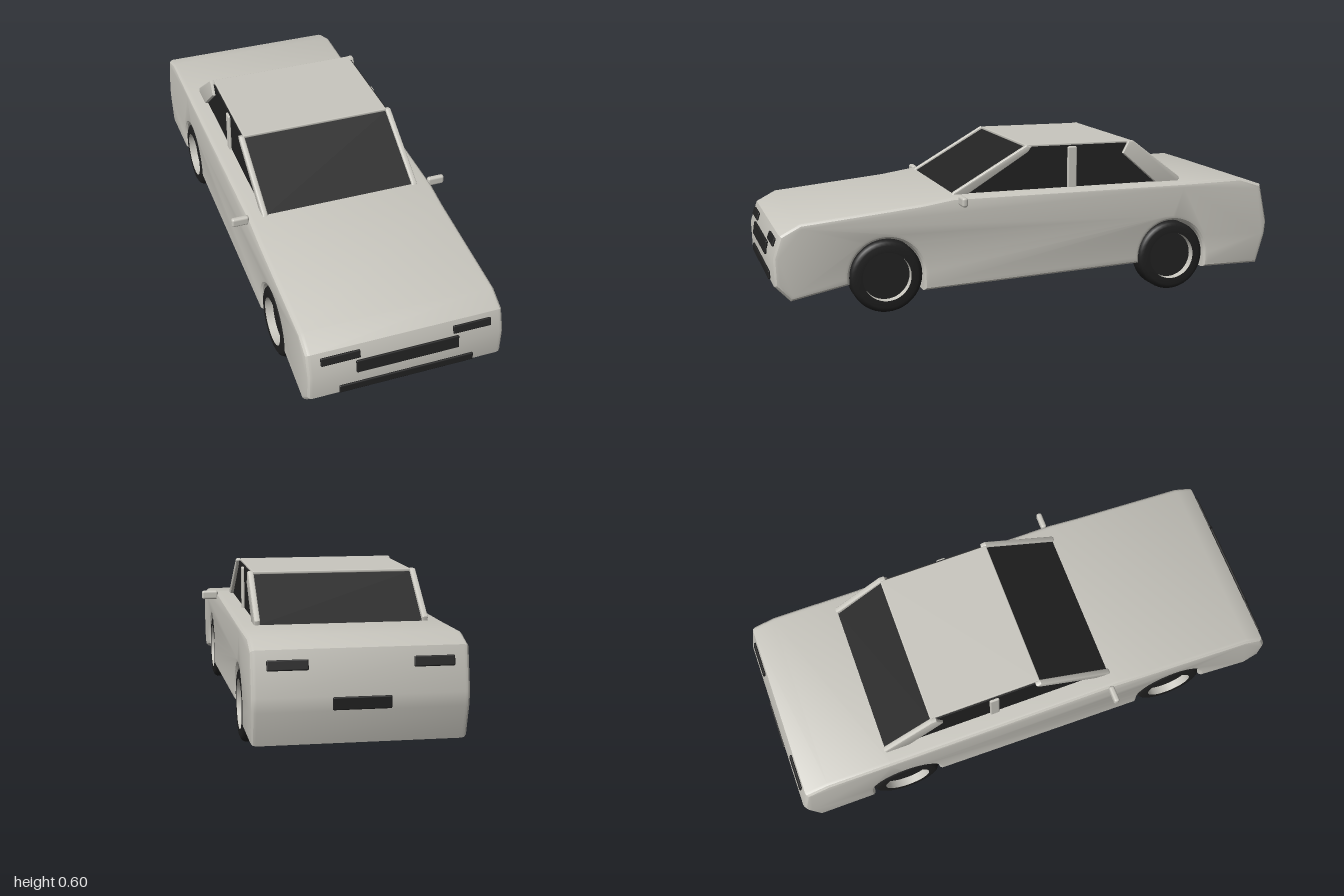
import * as THREE from 'three';
import { toCreasedNormals } from 'three/addons/utils/BufferGeometryUtils.js';
import { RoundedBoxGeometry } from 'three/addons/geometries/RoundedBoxGeometry.js';

const paint = new THREE.MeshStandardMaterial({ name: 'silver paint', color: 0xc8c6be });
const dark = new THREE.MeshStandardMaterial({ name: 'dark glass and trim', color: 0x222222 });
const rubber = new THREE.MeshStandardMaterial({ name: 'tyre rubber', color: 0x1f1f1f });
const rimPaint = new THREE.MeshStandardMaterial({ name: 'rim barrel', color: 0xc8c6be, side: THREE.DoubleSide });

const WHEEL_R = 0.137, WHEEL_Z = 0.575;

function mesh(name, geometry, material, x = 0, y = 0, z = 0) {
  const m = new THREE.Mesh(geometry, material);
  m.name = name;
  m.position.set(x, y, z);
  return m;
}

// Extrudes a side outline drawn as (z, y) across the car from x0 to x1
function sideSlab(shape, x0, x1, bevel) {
  const g = new THREE.ExtrudeGeometry(shape, {
    depth: x1 - x0 - 2 * bevel, curveSegments: 20,
    bevelEnabled: bevel > 0, bevelSize: bevel, bevelThickness: bevel,
    bevelOffset: -bevel, bevelSegments: 3,
  });
  g.rotateY(-Math.PI / 2);
  g.translate(x1 - bevel, 0, 0);
  return toCreasedNormals(g, 0.5);
}

const polygon = (points) => new THREE.Shape(points.map(([z, y]) => new THREE.Vector2(z, y)));

// Side outline of the lower body with both wheel arches
function bodyShape() {
  const s = new THREE.Shape();
  const r = 0.139;
  s.moveTo(0.93, 0.07);
  [[0.988, 0.13], [0.992, 0.235], [0.965, 0.317], [0.89, 0.357], [0.44, 0.403], [0.32, 0.422],
    [-0.62, 0.43], [-0.87, 0.435], [-0.962, 0.405], [-0.995, 0.25], [-0.99, 0.2],
    [-0.955, 0.08], [-WHEEL_Z - r, 0.08]].forEach(([z, y]) => s.lineTo(z, y));
  s.lineTo(-WHEEL_Z - r, 0.14);
  s.absarc(-WHEEL_Z, 0.14, r, Math.PI, 0, true);
  s.lineTo(-WHEEL_Z + r, 0.115);
  s.lineTo(WHEEL_Z - r, 0.073);
  s.lineTo(WHEEL_Z - r, 0.14);
  s.absarc(WHEEL_Z, 0.14, r, Math.PI, 0, true);
  s.lineTo(WHEEL_Z + r, 0.115);
  return s;
}

function createWheel() {
  const wheel = new THREE.Group();
  wheel.name = 'wheel';
  const w = 0.046, inner = 0.092;
  // tyre: rounded outer tread and flat side walls
  const profile = [[inner, -w], [0.118, -w], [0.13, -0.04], [WHEEL_R, -0.028],
    [WHEEL_R, 0.028], [0.13, 0.04], [0.118, w], [inner, w]];
  const tyre = new THREE.LatheGeometry(profile.map(([r, y]) => new THREE.Vector2(r, y)), 40);
  tyre.rotateZ(Math.PI / 2);
  const barrel = new THREE.CylinderGeometry(inner, inner, 2 * w, 40, 1, true).rotateZ(Math.PI / 2);
  const disc = new THREE.CylinderGeometry(inner - 0.001, inner - 0.001, 0.03, 40).rotateZ(Math.PI / 2);
  wheel.add(mesh('tyre', tyre, rubber), mesh('rimBarrel', barrel, rimPaint), mesh('wheelDisc', disc, dark));
  return wheel;
}

// Thin rounded plate set on the nose or tail, tilted to the panel
function trim(name, x, y, z, width, height, tilt) {
  const m = mesh(name, new RoundedBoxGeometry(width, height, 0.0098, 3, 0.0045), dark, x, y, z);
  m.rotation.x = tilt;
  return m;
}

export function createModel() {
  const car = new THREE.Group();
  car.name = 'car';

  car.add(mesh('body', sideSlab(bodyShape(), -0.372, 0.372, 0.02), paint));

  // Glasshouse and roof
  const cabin = polygon([[0.3, 0.41], [0.305, 0.42], [0.01, 0.589], [-0.42, 0.589], [-0.62, 0.43], [-0.6, 0.41]]);
  car.add(mesh('windows', sideSlab(cabin, -0.304, 0.304, 0), dark));
  car.add(mesh('roof', new RoundedBoxGeometry(0.596, 0.012, 0.44, 2, 0.004), paint, 0, 0.591, -0.205));

  // Pillars, mirrors and wheels on both sides
  const frontPillar = polygon([[0.315, 0.415], [0.305, 0.43], [0.015, 0.597], [-0.005, 0.59], [0.01, 0.57], [0.25, 0.42]]);
  const rearPillar = polygon([[-0.38, 0.55], [-0.405, 0.597], [-0.425, 0.597], [-0.625, 0.445], [-0.62, 0.42], [-0.53, 0.42]]);
  for (const side of [1, -1]) {
    const label = side > 0 ? 'left' : 'right';
    const [x0, x1] = side > 0 ? [0.294, 0.316] : [-0.316, -0.294];
    car.add(mesh(label + 'FrontPillar', sideSlab(frontPillar, x0, x1, 0.006), paint));
    car.add(mesh(label + 'RearPillar', sideSlab(rearPillar, x0, x1, 0.006), paint));
    car.add(mesh(label + 'MiddlePillar', new RoundedBoxGeometry(0.018, 0.165, 0.038, 2, 0.006), paint, side * 0.304, 0.502, -0.172));
    car.add(mesh(label + 'Mirror', new RoundedBoxGeometry(0.068, 0.036, 0.022, 3, 0.009), paint, side * 0.4, 0.411, 0.292));

    for (const end of [1, -1]) {
      const wheel = createWheel();
      wheel.name = label + (end > 0 ? 'FrontWheel' : 'RearWheel');
      wheel.position.set(side * 0.322, WHEEL_R, end * WHEEL_Z);
      car.add(wheel);
    }
    car.add(trim(label + 'Headlight', side * 0.248, 0.285, 0.979, 0.146, 0.031, -0.32));
    car.add(trim(label + 'TailLight', side * 0.248, 0.355, -0.976, 0.14, 0.036, 0.21));
  }

  // Nose and tail trim
  car.add(trim('grille', 0, 0.24, 0.9935, 0.388, 0.05, -0.15));
  car.add(trim('lowerIntake', 0, 0.149, 0.992, 0.51, 0.031, -0.03));
  car.add(trim('rearPlate', 0, 0.225, -0.995, 0.2, 0.045, -0.1));
  return car;
}
